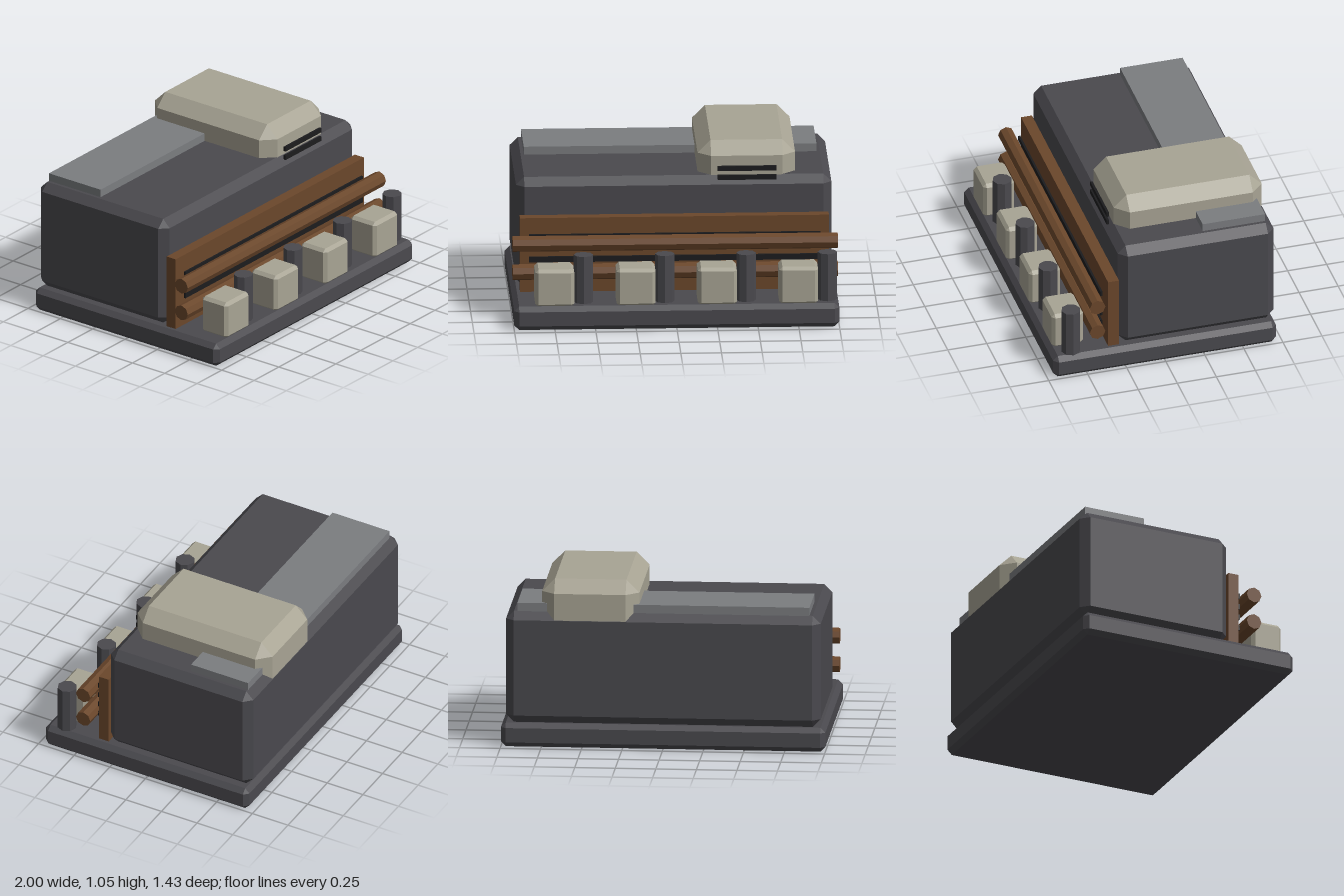
import * as THREE from 'three';
import { ConvexGeometry } from 'three/addons/geometries/ConvexGeometry.js';

const paint = (name, color) => {
  const m = new THREE.MeshStandardMaterial({ color });
  m.name = name;
  return m;
};

// Box given by its limits, with every edge cut at 45 degrees by c
function chamferBox([x0, x1], [y0, y1], [z0, z1], c) {
  const hx = (x1 - x0) / 2, hy = (y1 - y0) / 2, hz = (z1 - z0) / 2;
  const pts = [];
  for (const sx of [-1, 1]) for (const sy of [-1, 1]) for (const sz of [-1, 1]) {
    pts.push(
      new THREE.Vector3(sx * hx, sy * (hy - c), sz * (hz - c)),
      new THREE.Vector3(sx * (hx - c), sy * hy, sz * (hz - c)),
      new THREE.Vector3(sx * (hx - c), sy * (hy - c), sz * hz));
  }
  return new ConvexGeometry(pts).translate((x0 + x1) / 2, (y0 + y1) / 2, (z0 + z1) / 2);
}

// Plain box given by its limits
function box([x0, x1], [y0, y1], [z0, z1]) {
  return new THREE.BoxGeometry(x1 - x0, y1 - y0, z1 - z0)
    .translate((x0 + x1) / 2, (y0 + y1) / 2, (z0 + z1) / 2);
}

// Eight-sided rod with flat faces
function rod(radius, length) {
  return new THREE.CylinderGeometry(radius, radius, length, 8).toNonIndexed();
}

export function createModel() {
  const dark = paint('dark slate', 0x4a494e);
  const stone = paint('pale stone', 0xa8a494);
  const wood = paint('brown wood', 0x6b472b);
  const grey = paint('mid grey', 0x7b7d80);
  const black = paint('black', 0x1c1c1e);

  const model = new THREE.Group();
  const add = (name, geometry, material) => {
    geometry.computeVertexNormals();
    const mesh = new THREE.Mesh(geometry, material);
    mesh.name = name;
    model.add(mesh);
    return mesh;
  };

  // Plinth and main block
  add('base', chamferBox([-1, 1], [0, 0.15], [-0.713, 0.713], 0.03), dark);
  add('body', chamferBox([-0.97, 0.97], [0.15, 0.85], [-0.713, 0.285], 0.05), dark);
  add('roofPlate', box([-0.9, 0.9], [0.84, 0.9], [-0.665, -0.265]), grey);

  // Tower running down through the body, with two vent slits
  add('tower', chamferBox([0.15, 0.75], [0.16, 1.05], [-0.711, 0.237], 0.08), stone);
  for (const y of [0.84, 0.897]) {
    add('towerVent', box([0.27, 0.63], [y - 0.015, y + 0.015], [0.255, 0.27]), black);
  }

  // Front panel with dark slats
  add('frontPanel', box([-0.95, 0.95], [0.15, 0.62], [0.285, 0.355]), wood);
  for (let i = 0; i < 4; i++) {
    const y = 0.293 + i * 0.071;
    add('frontSlat', box([-0.895, 0.895], [y - 0.0175, y + 0.0175], [0.376, 0.389]), black);
  }

  // Long horizontal rails
  for (const y of [0.3, 0.48]) {
    add('rail', rod(0.05, 2).rotateZ(Math.PI / 2).translate(0, y, 0.437), wood);
  }

  // Row of alternating blocks and posts
  for (let i = 0; i < 4; i++) {
    const x = -0.75 + i * 0.5;
    add('frontBlock', chamferBox([x - 0.12, x + 0.12], [0.14, 0.38], [0.488, 0.688], 0.02), stone);
    add('frontPost', rod(0.06, 0.3).translate(x + 0.18, 0.3, 0.588), dark);
  }

  return model;
}
